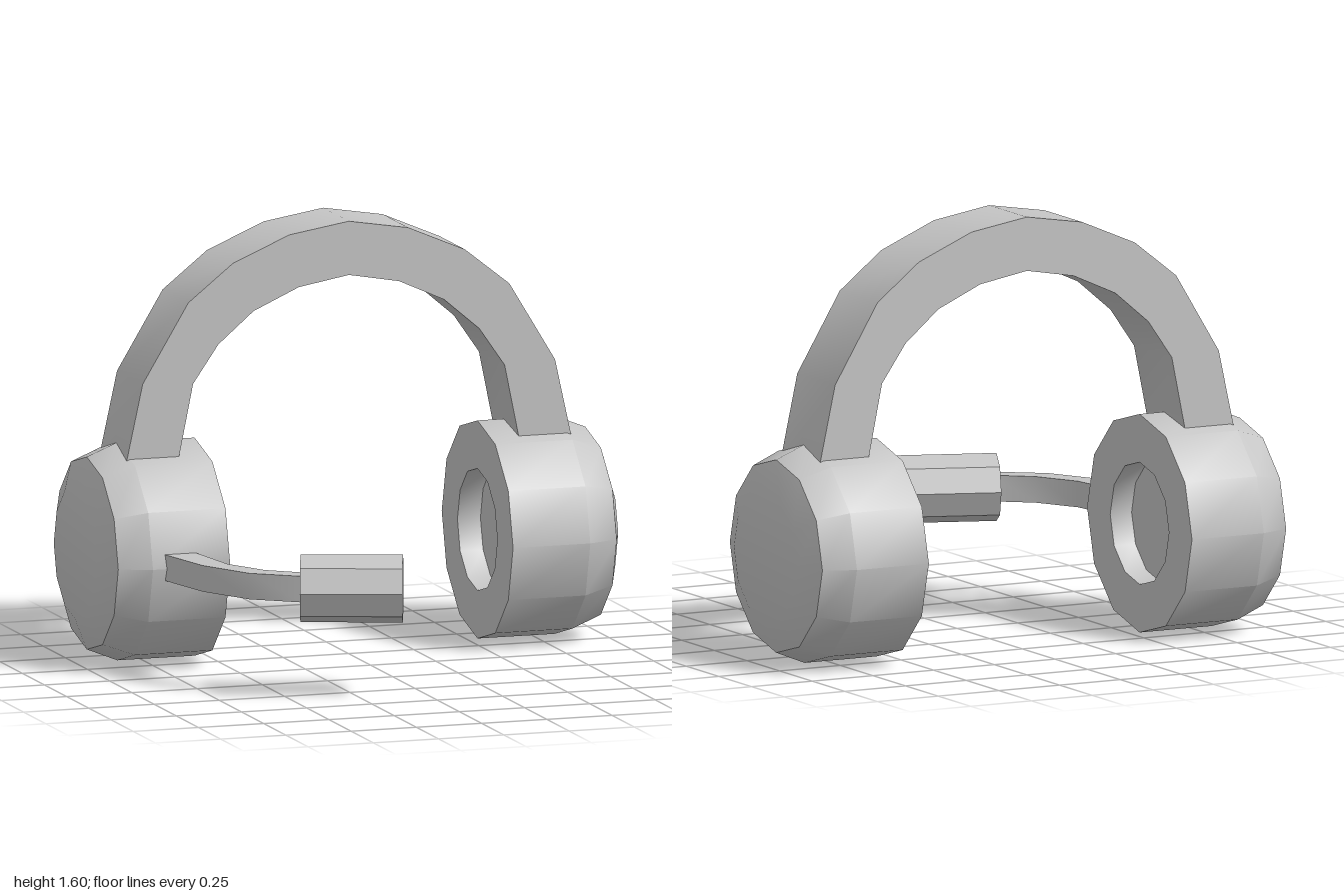
import * as THREE from 'three';
import { toCreasedNormals } from 'three/addons/utils/BufferGeometryUtils.js';

const CREASE = 0.62; // edges sharper than about 35 degrees stay hard
const CUP_Y = 0.402;
const CUP_Z = -0.39;

const vectors = (points) => points.map(([x, y]) => new THREE.Vector2(x, y));

// Solid made by extruding a closed outline
function slab(points, depth) {
  return new THREE.ExtrudeGeometry(new THREE.Shape(vectors(points)), { depth, bevelEnabled: false });
}

export function createModel() {
  const model = new THREE.Group();
  model.name = 'headset';
  const grey = new THREE.MeshStandardMaterial({ color: 0xc4c4c4 });
  grey.name = 'light grey';

  function add(name, geometry) {
    const mesh = new THREE.Mesh(toCreasedNormals(geometry, CREASE), grey);
    mesh.name = name;
    model.add(mesh);
    return mesh;
  }

  // Ear cups: recessed inner face, straight wall, domed outer face
  const cupProfile = vectors([
    [0, 0.63], [0.225, 0.63], [0.225, 0.542], [0.402, 0.542],
    [0.402, 0.838], [0.355, 0.955], [0.24, 1], [0, 1],
  ]);
  for (const side of [1, -1]) {
    const cup = new THREE.LatheGeometry(cupProfile, 12).rotateZ(-side * Math.PI / 2);
    add(side > 0 ? 'leftEarCup' : 'rightEarCup', cup).position.set(0, CUP_Y, CUP_Z);
  }

  // Headband: faceted arch whose ends sink into the cups
  const outer = [[0.871, 0.67], [0.79, 1.04], [0.615, 1.33], [0.445, 1.465], [0.228, 1.558], [0, 1.595]];
  const inner = [[0.67, 0.67], [0.597, 1.03], [0.5, 1.17], [0.365, 1.285], [0.192, 1.363], [0, 1.397]];
  const arch = (half) => [...half, ...half.slice(0, -1).reverse().map(([x, y]) => [-x, y])];
  add('headband', slab([...arch(outer), ...arch(inner).reverse()], 0.29)).position.z = CUP_Z - 0.145;

  // Microphone boom: bent bar outlined in x and z, laid flat
  const boom = slab([
    [-0.8, -0.06], [-0.677, -0.06], [-0.633, 0.25], [-0.545, 0.41], [-0.42, 0.51],
    [-0.46, 0.575], [-0.62, 0.455], [-0.73, 0.25], [-0.787, 0],
  ], 0.096).rotateX(Math.PI / 2);
  add('microphoneBoom', boom).position.y = 0.453;

  // Microphone: eight-sided capsule turned slightly forward
  const microphone = new THREE.CylinderGeometry(0.125, 0.125, 0.372, 8).rotateZ(-Math.PI / 2);
  const mesh = add('microphone', microphone);
  mesh.position.set(-0.278, 0.403, 0.604);
  mesh.rotation.y = -0.348;

  return model;
}
